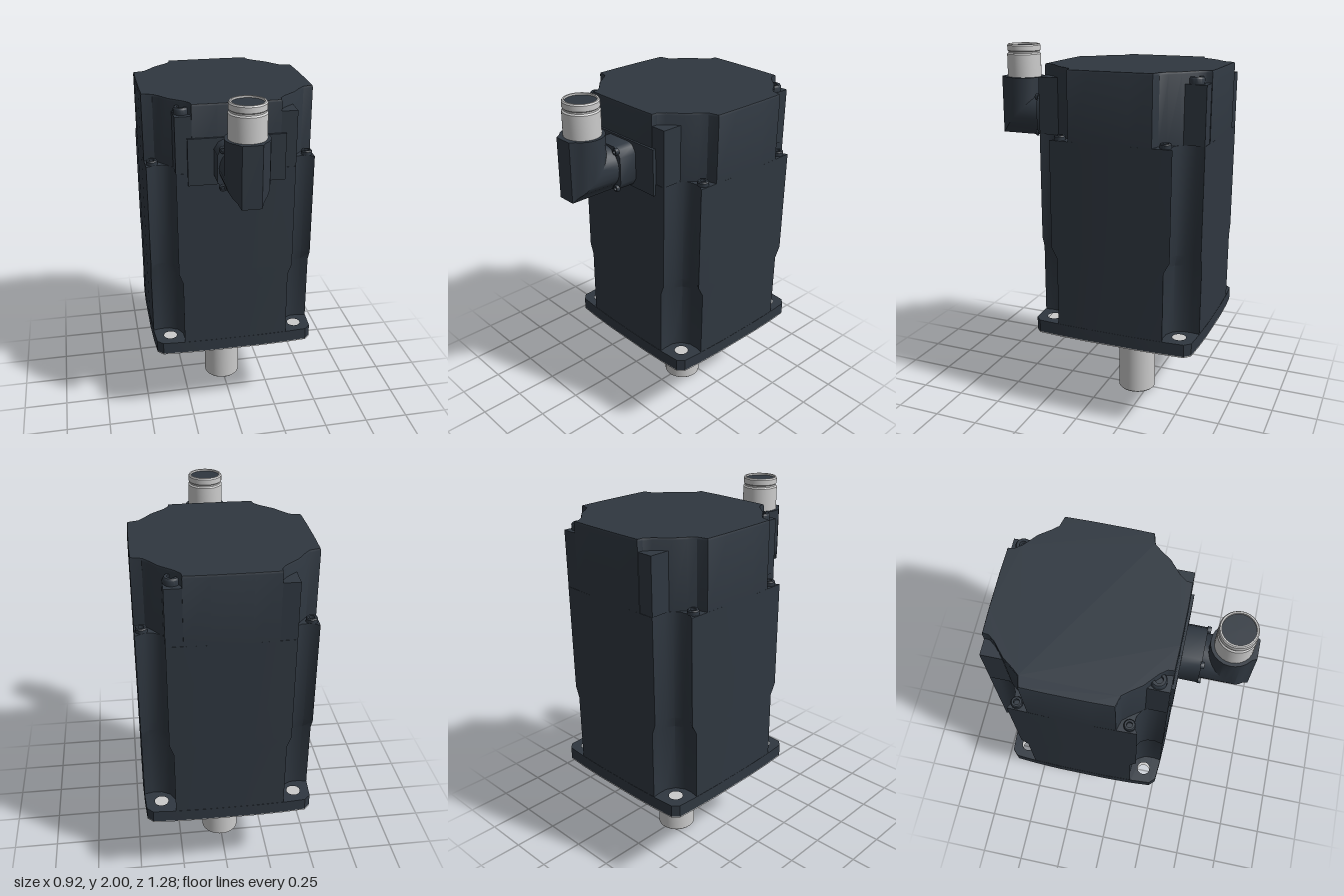
import * as THREE from 'three';
import { toCreasedNormals } from 'three/addons/utils/BufferGeometryUtils.js';

const dark = new THREE.MeshStandardMaterial({ color: 0x2f3740 });
const grey = new THREE.MeshStandardMaterial({ color: 0xcccccc });
const V2 = (x, y) => new THREE.Vector2(x, y);

function add(parent, name, geo, mat, x = 0, y = 0, z = 0) {
  const m = new THREE.Mesh(toCreasedNormals(geo, 0.6), mat);
  m.name = name;
  m.position.set(x, y, z);
  parent.add(m);
  return m;
}

// Mirror one quarter (front middle to side middle) into a full outline
function outline(q) {
  const r = [...q].reverse();
  return [
    ...q.map(([x, z]) => V2(x, z)), ...r.map(([x, z]) => V2(x, -z)),
    ...q.map(([x, z]) => V2(-x, -z)), ...r.map(([x, z]) => V2(-x, z)),
  ];
}

// Upright slab from a plan shape
function slab(shape, y0, y1) {
  return new THREE.ExtrudeGeometry(shape, { depth: y1 - y0, bevelEnabled: false, curveSegments: 32 })
    .rotateX(Math.PI / 2).translate(0, y1, 0);
}

// Closed skin through rings of 3D points; flat gives the plan used for both end caps
function loft(rings, flat) {
  const pos = [], n = flat.length;
  const tri = (a, b, c) => [a, b, c].forEach((p) => pos.push(p.x, p.y, p.z));
  for (let i = 0; i < rings.length - 1; i++) {
    for (let j = 0; j < n; j++) {
      const k = (j + 1) % n, a = rings[i], b = rings[i + 1];
      tri(a[j], a[k], b[k]);
      tri(a[j], b[k], b[j]);
    }
  }
  const end = rings[rings.length - 1], start = rings[0];
  for (const [a, b, c] of THREE.ShapeUtils.triangulateShape(flat, [])) {
    const up = THREE.ShapeUtils.area([flat[a], flat[b], flat[c]]) < 0;
    const [p, q] = up ? [b, c] : [c, b];
    tri(end[a], end[p], end[q]);
    tri(start[a], start[q], start[p]);
  }
  const g = new THREE.BufferGeometry();
  g.setAttribute('position', new THREE.Float32BufferAttribute(pos, 3));
  g.computeVertexNormals();
  return g;
}

const level = (pts, y, s = 1) => pts.map((p) => new THREE.Vector3(p.x * s, y, p.y * s));
const lathe = (pts, seg = 48) => new THREE.LatheGeometry(pts.map(([x, y]) => V2(x, y)), seg);

// Socket-head screw standing on y = 0
const screwGeo = (r, h) => lathe([[r, 0], [r, h * 0.75], [r * 0.85, h], [r * 0.5, h], [r * 0.5, h * 0.3], [0, h * 0.3]], 18);

const circle = (x, y, r) => new THREE.Path().absarc(x, y, r, 0, Math.PI * 2, true);

// Curved slot with round ends
function kidney(angle, half, r, w) {
  const p = new THREE.Path(), a0 = angle - half, a1 = angle + half;
  p.absarc(0, 0, r + w, a0, a1, false);
  p.absarc(r * Math.cos(a1), r * Math.sin(a1), w, a1, a1 + Math.PI, false);
  p.absarc(0, 0, r - w, a1, a0, true);
  p.absarc(r * Math.cos(a0), r * Math.sin(a0), w, a0 + Math.PI, a0 + Math.PI * 2, false);
  return p;
}

const corners = [[1, 1], [1, -1], [-1, -1], [-1, 1]];

export function createModel() {
  const model = new THREE.Group();
  model.name = 'servoMotor';
  const motor = new THREE.Group();
  motor.name = 'motor';
  motor.position.z = -0.18;
  model.add(motor);

  // Mounting flange with four bolt holes and a bare metal underside
  const flange = new THREE.Shape(outline([[0.15, 0.46], [0.3, 0.455], [0.415, 0.447], [0.447, 0.415], [0.455, 0.3], [0.46, 0.15]]));
  corners.forEach(([sx, sz]) => flange.holes.push(circle(sx * 0.365, sz * 0.365, 0.037)));
  add(motor, 'flange', slab(flange, 0.473, 0.54), dark);
  add(motor, 'flangeFace', slab(flange, 0.467, 0.473), grey);

  // Housing: deeper corner pockets below, fuller corners above
  const lower = outline([[0.12, 0.459], [0.293, 0.454], [0.288, 0.41], [0.29, 0.36], [0.315, 0.315], [0.36, 0.29], [0.41, 0.288], [0.454, 0.298], [0.459, 0.12]]);
  const upper = outline([[0.12, 0.459], [0.315, 0.454], [0.305, 0.41], [0.308, 0.365], [0.328, 0.328], [0.365, 0.308], [0.41, 0.305], [0.454, 0.33], [0.459, 0.12]]);
  add(motor, 'housing', loft([level(lower, 0.54), level(lower, 0.92), level(upper, 0.98), level(upper, 1.56)], upper), dark);

  // Rear cover with cut-back corners
  const cap = outline([[0.1, 0.459], [0.23, 0.456], [0.233, 0.425], [0.26, 0.39], [0.33, 0.33], [0.37, 0.275], [0.4, 0.24], [0.456, 0.225], [0.459, 0.1]]);
  add(motor, 'rearCover', loft([level(cap, 1.56), level(cap, 1.91), level(cap, 1.92, 0.992)], cap), dark);

  // Corner posts and screws of the cover
  corners.forEach(([sx, sz]) => {
    add(motor, 'coverPost', new THREE.BoxGeometry(0.095, 0.3, 0.12), dark, sx * 0.268, 1.71, sz * 0.393);
    add(motor, 'ledgeScrew', screwGeo(0.03, 0.025), dark, sx * 0.42, 1.56, sz * 0.285);
    if (sx !== sz) add(motor, 'coverScrew', screwGeo(0.04, 0.035), dark, sx * 0.273, 1.86, sz * 0.39);
  });

  // Locating spigot with curved slots and an inner seal ring
  const spigot = new THREE.Shape().absarc(0, 0, 0.4, 0, Math.PI * 2, false);
  spigot.holes.push(circle(0, 0, 0.225));
  for (let i = 0; i < 4; i++) spigot.holes.push(kidney((i + 0.5) * Math.PI / 2, 0.42, 0.3, 0.032));
  add(motor, 'spigot', slab(spigot, 0.437, 0.468), grey);
  add(motor, 'sealRing', lathe([[0.13, 0.467], [0.13, 0.455], [0.16, 0.455], [0.16, 0.445], [0.2, 0.445], [0.2, 0.467]]), grey);

  // Output shaft with centre bore
  add(motor, 'shaft', lathe([[0, 0.05], [0.03, 0.04], [0.03, 0], [0.1, 0], [0.107, 0.007], [0.107, 0.47]]), grey);

  // Connector pad and base on the front
  const plug = new THREE.Group();
  plug.name = 'connector';
  model.add(plug);
  add(plug, 'connectorPad', new THREE.BoxGeometry(0.51, 0.25, 0.03), dark, 0, 1.623, 0.275);
  const base = new THREE.Shape(outline([[0.075, 0.118], [0.1, 0.105], [0.122, 0.07]]));
  const baseGeo = new THREE.ExtrudeGeometry(base, { depth: 0.105, bevelEnabled: false });
  add(plug, 'connectorBase', baseGeo, dark, 0, 1.62, 0.285);
  [-1, 1].forEach((s) => [1.52, 1.72].forEach((y) => {
    add(plug, 'baseScrew', screwGeo(0.018, 0.02), dark, s * 0.095, y, 0.385).rotation.x = Math.PI / 2;
  }));

  // Mitred elbow: the same D-shaped section runs forward, then turns up
  const section = [V2(-0.05, 0.118), V2(0.05, 0.118)];
  for (let i = 0; i <= 20; i++) {
    const a = 0.95 - i * (Math.PI + 1.9) / 20;
    section.push(V2(0.113 * Math.cos(a), 0.113 * Math.sin(a)));
  }
  const zc = 0.522;
  const elbow = loft([
    section.map((p) => new THREE.Vector3(p.x, 1.618 - p.y, 0.385)),
    section.map((p) => new THREE.Vector3(p.x, 1.618 - p.y, zc + p.y)),
    section.map((p) => new THREE.Vector3(p.x, 1.82, zc + p.y)),
  ], section);
  add(plug, 'elbow', elbow, dark);

  // Threaded metal sleeve with a dark insert
  add(plug, 'sleeve', lathe([[0.095, 1.82], [0.095, 1.945], [0.088, 1.952], [0.088, 1.96], [0.093, 1.965], [0.093, 1.993], [0.088, 2], [0.08, 2], [0.08, 1.98]]), grey, 0, 0, zc);
  add(plug, 'sleeveInsert', new THREE.CylinderGeometry(0.081, 0.081, 0.15, 40), dark, 0, 1.915, zc);

  return model;
}
